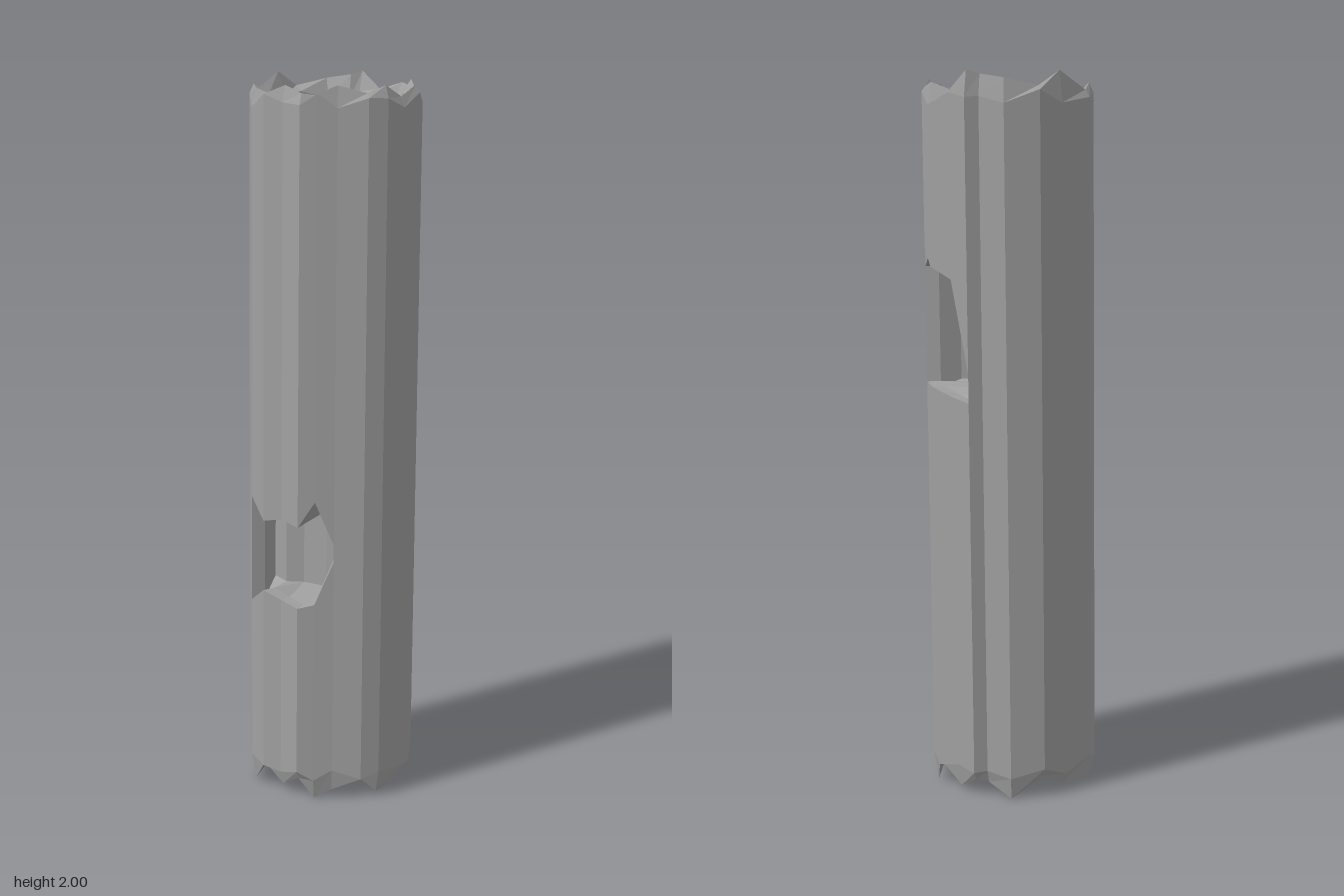
import * as THREE from 'three';

// Outline of the bark [x, z] at mid height, running from the back round the left side
const RING = [
  [0.025, -0.24], [0.085, -0.21], [0.155, -0.185], [0.185, -0.155], [0.195, -0.11], [0.225, -0.065],
  [0.237, 0.045], [0.21, 0.12], [0.175, 0.165], [0.13, 0.195], [0.05, 0.21], [0, 0.225],
  [-0.045, 0.237], [-0.1, 0.2], [-0.155, 0.185], [-0.205, 0.12], [-0.232, 0.045], [-0.24, -0.01],
  [-0.2, -0.11], [-0.16, -0.17], [-0.08, -0.225], [-0.005, -0.215],
];
const N = RING.length;
const INNER = 0.84;

// Splintered heights of the broken ends
const TOP = [2, 1.95, 1.97, 1.96, 1.98, 1.94, 1.97, 1.94, 1.97, 1.95, 1.97, 1.94, 1.95, 1.97, 1.95, 1.96, 1.97, 1.95, 2, 1.96, 1.98, 1.99];
const BOTTOM = [0.05, 0.02, 0.06, 0.01, 0.05, 0.02, 0.04, 0.03, 0.02, 0.06, 0.03, 0.01, 0.06, 0.03, 0.07, 0.01, 0.05, 0.02, 0.03, 0.06, 0.01, 0.04];

// Knot hollows: heights of lower and upper lips, and the outline of the back wall
const HOLLOWS = [
  {
    name: 'frontHollow', start: 10,
    low: [0.69, 0.57, 0.56, 0.57, 0.59, 0.54],
    high: [0.74, 0.86, 0.79, 0.8, 0.79, 0.84],
    back: [[0.095, 0.11], [0.07, 0.09], [0, 0.08], [-0.07, 0.055], [-0.12, 0.06], [-0.165, 0.01]],
    floor: 0.58, roof: 0.8,
  },
  {
    name: 'backHollow', start: 0,
    low: [1.12, 1.13, 1.15, 1.16, 1.14, 1.13],
    high: [1.2, 1.45, 1.48, 1.53, 1.5, 1.47],
    back: [[-0.01, -0.15], [0.01, -0.12], [0.05, -0.085], [0.09, -0.05], [0.115, 0], [0.145, -0.01]],
    floor: 1.15, roof: 1.47,
  },
];

// The whole log leans slightly backwards
const lean = (x, y, z) => [x + (y - 1) * 0.006, y, z - (y - 1) * 0.013];
const ringPoint = (i, scale, y) => lean(RING[i % N][0] * scale, y, RING[i % N][1] * scale);

// Collects quads and turns them into one faceted mesh
function faceted(name, material, build) {
  const positions = [];
  build((a, b, c, d, flip = false) => {
    const q = flip ? [d, c, b, a] : [a, b, c, d];
    for (const k of [0, 1, 2, 0, 2, 3]) positions.push(...q[k]);
  });
  const geometry = new THREE.BufferGeometry();
  geometry.setAttribute('position', new THREE.Float32BufferAttribute(positions, 3));
  geometry.computeVertexNormals();
  const mesh = new THREE.Mesh(geometry, material);
  mesh.name = name;
  return mesh;
}

// Vertical wall that leaves the hollows open
function wall(name, material, scale, lowEdge, highEdge, flip) {
  return faceted(name, material, (quad) => {
    for (let i = 0; i < N; i++) {
      const j = (i + 1) % N;
      const strip = (y0, y1) => quad(
        ringPoint(j, scale, y0[1]), ringPoint(i, scale, y0[0]),
        ringPoint(i, scale, y1[0]), ringPoint(j, scale, y1[1]), flip);
      const bottom = [lowEdge(i), lowEdge(j)];
      const top = [highEdge(i), highEdge(j)];
      const hollow = HOLLOWS.find((h) => i >= h.start && i < h.start + 5);
      if (hollow) {
        const k = i - hollow.start;
        strip(bottom, hollow.low.slice(k, k + 2));
        strip(hollow.high.slice(k, k + 2), top);
      } else strip(bottom, top);
    }
  });
}

// Broken rim made of bands between successive rings [scale, height rule]
function rim(name, material, rings, flip) {
  return faceted(name, material, (quad) => {
    for (let r = 0; r < rings.length - 1; r++) {
      const [s0, y0] = rings[r];
      const [s1, y1] = rings[r + 1];
      for (let i = 0; i < N; i++) {
        const j = (i + 1) % N;
        quad(ringPoint(j, s0, y0(j)), ringPoint(i, s0, y0(i)),
          ringPoint(i, s1, y1(i)), ringPoint(j, s1, y1(j)), flip);
      }
    }
  });
}

// Recess behind a knot hole: floor, roof, back and two side walls
function recess(h, material) {
  return faceted(h.name, material, (quad) => {
    const low = h.low.map((y, k) => [
      ringPoint(h.start + k, 1, y), ringPoint(h.start + k, INNER, y), lean(h.back[k][0], h.floor, h.back[k][1])]);
    const high = h.high.map((y, k) => [
      ringPoint(h.start + k, 1, y), ringPoint(h.start + k, INNER, y), lean(h.back[k][0], h.roof, h.back[k][1])]);
    for (let k = 0; k < 5; k++) {
      for (let r = 0; r < 2; r++) {
        quad(low[k + 1][r], low[k][r], low[k][r + 1], low[k + 1][r + 1]);
        quad(high[k + 1][r], high[k][r], high[k][r + 1], high[k + 1][r + 1], true);
      }
      quad(low[k + 1][2], low[k][2], high[k][2], high[k + 1][2]);
    }
    for (const k of [0, 5]) {
      for (let r = 0; r < 2; r++) quad(low[k][r + 1], low[k][r], high[k][r], high[k][r + 1], k === 5);
    }
  });
}

export function createModel() {
  const wood = new THREE.MeshStandardMaterial({ color: 0xa0a0a0, flatShading: true, side: THREE.DoubleSide });
  wood.name = 'grey wood';

  // Height rules for the outer edge, splinter crest and inner edge of both ends
  const topOuter = (i) => 1.93 + 0.02 * Math.sin(i * 2.4);
  const topCrest = (i) => TOP[i];
  const topInner = (i) => 1.93 + 0.015 * Math.sin(i * 1.7 + 1);
  const bottomOuter = (i) => 0.07 + 0.015 * Math.sin(i * 2.7);
  const bottomCrest = (i) => BOTTOM[i] * 1.2 - 0.012;
  const bottomInner = (i) => 0.08 + 0.015 * Math.sin(i * 1.9 + 2);

  const log = new THREE.Group();
  log.name = 'hollowLog';
  log.add(
    wall('bark', wood, 1, bottomOuter, topOuter, false),
    wall('innerWall', wood, INNER, bottomInner, topInner, true),
    rim('topRim', wood, [[1, topOuter], [0.95, topCrest], [INNER, topInner]], false),
    rim('bottomRim', wood, [[1, bottomOuter], [0.95, bottomCrest], [INNER, bottomInner]], true),
    ...HOLLOWS.map((h) => recess(h, wood)),
  );
  return log;
}
